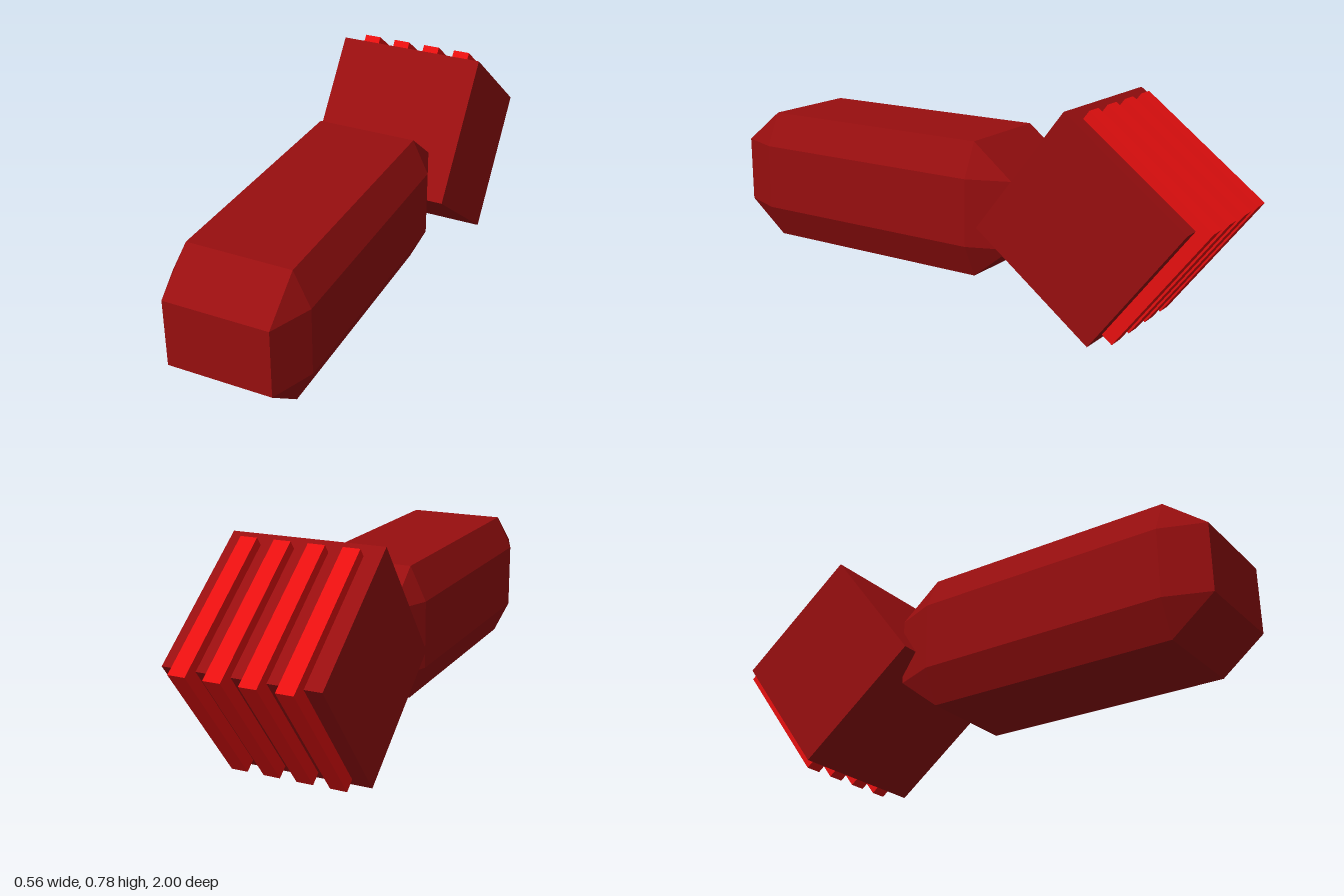
import * as THREE from 'three';
import { ConvexGeometry } from 'three/addons/geometries/ConvexGeometry.js';

// Box with every edge bevelled; outer and inner are half sizes
function bevelledBox(outer, inner) {
  const points = [];
  for (const sx of [-1, 1]) for (const sy of [-1, 1]) for (const sz of [-1, 1]) {
    for (let axis = 0; axis < 3; axis++) {
      const p = inner.map((v, i) => (i === axis ? outer[i] : v));
      points.push(new THREE.Vector3(p[0] * sx, p[1] * sy, p[2] * sz));
    }
  }
  return new ConvexGeometry(points);
}

export function createModel() {
  const darkRed = new THREE.MeshStandardMaterial({ color: 0x980e0f });
  darkRed.name = 'dark red';
  const brightRed = new THREE.MeshStandardMaterial({ color: 0xf01010 });
  brightRed.name = 'bright red';

  const model = new THREE.Group();
  model.name = 'model';
  const add = (name, geometry, material, x, y, z, tilt = 0) => {
    const mesh = new THREE.Mesh(geometry, material);
    mesh.name = name;
    mesh.position.set(x, y, z);
    mesh.rotation.x = tilt;
    model.add(mesh);
  };

  // Long bevelled arm
  add('arm', bevelledBox([0.247, 0.2475, 0.62], [0.187, 0.1235, 0.465]), darkRed, 0, 0.373, 0.38);

  // Tilted cube at the back end
  const size = 0.56, tilt = -0.652, y = 0.393, z = -0.5475;
  add('block', new THREE.BoxGeometry(size, size, size), darkRed, 0, y, z, tilt);

  // Four ridges wrapping the two rear faces of the block
  const ridge = new THREE.BoxGeometry(0.062, size, size);
  for (let i = 0; i < 4; i++) {
    add('ridge' + (i + 1), ridge, brightRed, (i - 1.5) * 0.1245, y, z - 0.06, tilt);
  }
  return model;
}
